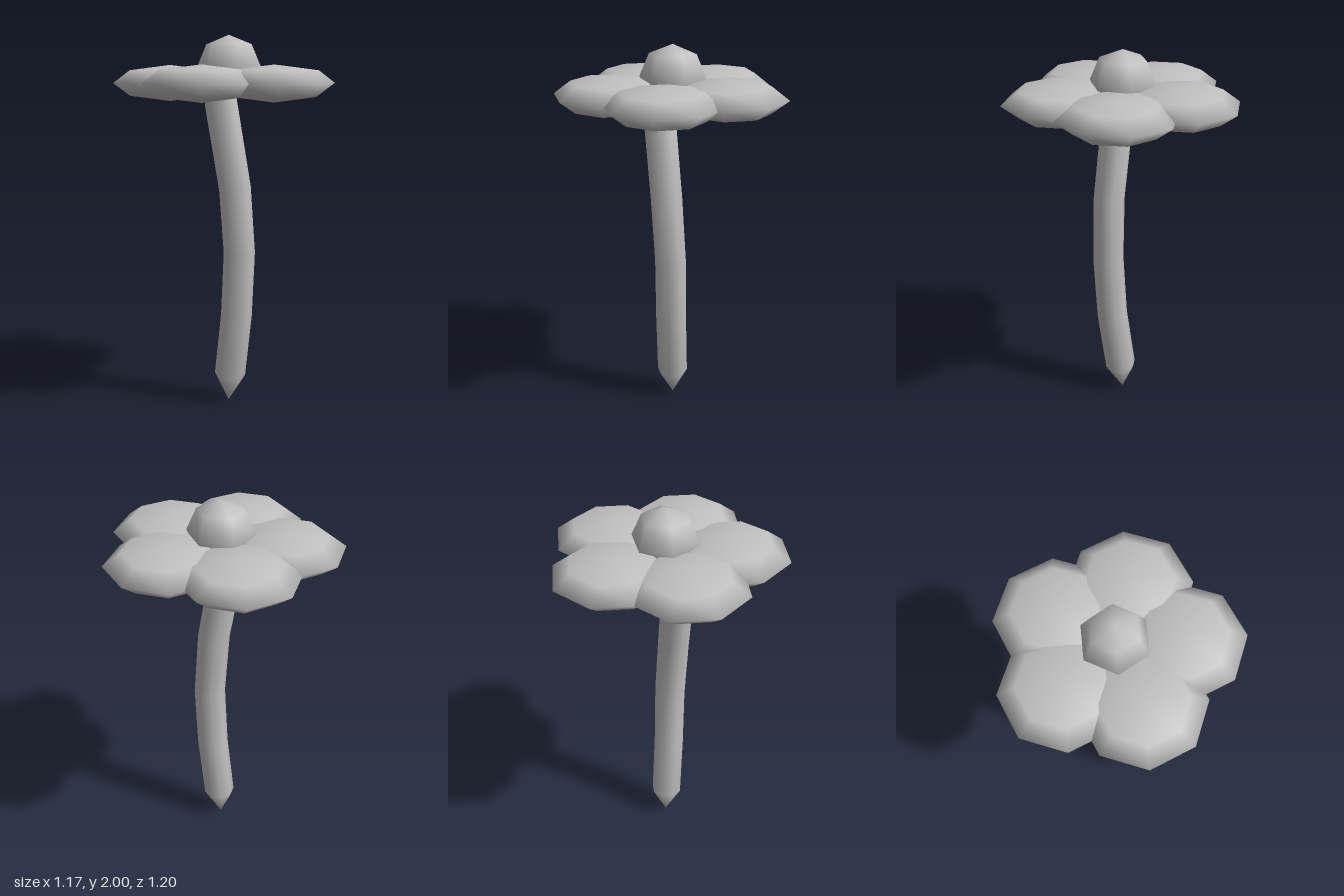
import * as THREE from 'three';

const SIDES = 8;

// Smooth tube through [x, y, z] ring centres, closed by a point at each end.
function pointedStem(path, radius, bottomTip, topTip) {
  const pos = [...bottomTip];
  const index = [];
  path.forEach(([x, y, z], i) => {
    const a = path[Math.max(i - 1, 0)];
    const b = path[Math.min(i + 1, path.length - 1)];
    const sx = (b[0] - a[0]) / (b[1] - a[1]);
    const sz = (b[2] - a[2]) / (b[1] - a[1]);
    for (let s = 0; s < SIDES; s++) {
      const t = (s / SIDES) * Math.PI * 2;
      const dx = Math.cos(t) * radius;
      const dz = Math.sin(t) * radius;
      pos.push(x + dx, y - sx * dx - sz * dz, z + dz); // ring tilted across the path
    }
  });
  pos.push(...topTip);
  const last = pos.length / 3 - 1;
  const at = (ring, s) => 1 + ring * SIDES + (s % SIDES);
  for (let s = 0; s < SIDES; s++) {
    index.push(0, at(0, s), at(0, s + 1));
    for (let r = 0; r < path.length - 1; r++) {
      index.push(at(r, s), at(r + 1, s), at(r, s + 1));
      index.push(at(r, s + 1), at(r + 1, s), at(r + 1, s + 1));
    }
    index.push(at(path.length - 1, s), last, at(path.length - 1, s + 1));
  }
  const geo = new THREE.BufferGeometry();
  geo.setAttribute('position', new THREE.Float32BufferAttribute(pos, 3));
  geo.setIndex(index);
  geo.computeVertexNormals();
  return geo;
}

export function createModel() {
  const model = new THREE.Group();
  model.name = 'flower';
  const grey = new THREE.MeshStandardMaterial({ color: 0xc0c0c0 });
  grey.name = 'grey';

  // Bent stem
  const stem = new THREE.Mesh(pointedStem([
    [-0.023, 0.155, 0], [0.025, 0.5, 0], [0.046, 0.85, 0],
    [0.035, 1.2, 0.023], [-0.023, 1.655, 0.07],
  ], 0.084, [-0.035, 0, 0], [-0.045, 1.79, 0.085]), grey);
  stem.name = 'stem';
  model.add(stem);

  // Flower head
  const head = new THREE.Group();
  head.name = 'flowerHead';
  head.position.set(-0.031, 1.75, 0);
  model.add(head);

  // Five flattened petals around the centre
  const petalGeo = new THREE.SphereGeometry(1, 8, 4).scale(0.303, 0.095, 0.303);
  for (let i = 0; i < 5; i++) {
    const a = (i / 5) * Math.PI * 2;
    const petal = new THREE.Mesh(petalGeo, grey);
    petal.name = 'petal' + (i + 1);
    petal.position.set(Math.cos(a) * 0.314, 0, Math.sin(a) * 0.314);
    head.add(petal);
  }

  // Six-sided centre with a corner towards the front
  const centreGeo = new THREE.SphereGeometry(1, 6, 4)
    .rotateY(Math.PI / 6).scale(0.173, 0.167, 0.173);
  const centre = new THREE.Mesh(centreGeo, grey);
  centre.name = 'flowerCentre';
  centre.position.y = 0.083;
  head.add(centre);

  return model;
}
